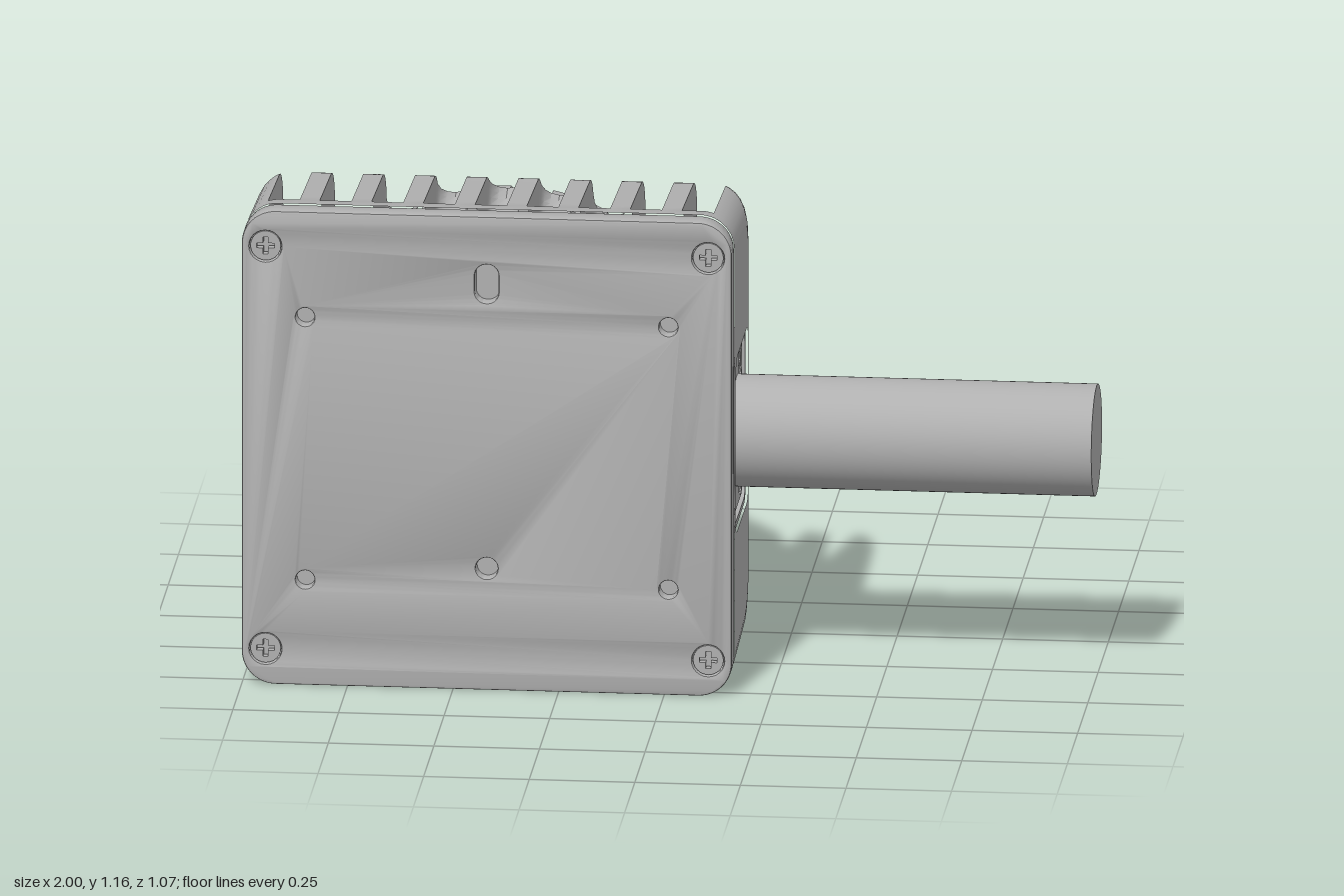
import * as THREE from 'three';
import { toCreasedNormals } from 'three/addons/utils/BufferGeometryUtils.js';

const HALF = 0.58, FRONT = 0.47, PITCH = 0.1225, SLOT = 0.0375;

function roundedRect(w, h, r, cx = 0, cy = 0, Type = THREE.Shape) {
  const s = new Type(), x = w / 2, y = h / 2;
  s.absarc(cx + x - r, cy + y - r, r, 0, Math.PI / 2);
  s.absarc(cx - x + r, cy + y - r, r, Math.PI / 2, Math.PI);
  s.absarc(cx - x + r, cy - y + r, r, Math.PI, Math.PI * 1.5);
  s.absarc(cx + x - r, cy - y + r, r, Math.PI * 1.5, Math.PI * 2);
  s.closePath();
  return s;
}

const circle = (r, x = 0, y = 0, Type = THREE.Shape) => new Type().absarc(x, y, r, 0, Math.PI * 2);

function extrude(shape, depth, bevel = 0) {
  const g = new THREE.ExtrudeGeometry(shape, {
    depth: depth - 2 * bevel, curveSegments: 12, bevelEnabled: bevel > 0,
    bevelSize: bevel, bevelOffset: -bevel, bevelThickness: bevel, bevelSegments: 2,
  });
  g.translate(0, 0, bevel);
  return toCreasedNormals(g, 0.6);
}

// Revolve [radius, z] points, listed from back to front, around the z axis
function lathe(points, segments = 72) {
  const g = new THREE.LatheGeometry(points.map(p => new THREE.Vector2(p[0], p[1])), segments);
  return toCreasedNormals(g.rotateX(Math.PI / 2), 0.5);
}

// Height at which the nearest cooling slot ends on the back, with a round end
function slotEnd(dx) {
  const n = THREE.MathUtils.clamp(Math.round(dx / PITCH), -4, 4), c = n * PITCH;
  const base = Math.max(0.245, Math.sqrt(Math.max(0, 0.25 - c * c)));
  const u = Math.min(1, Math.abs(dx - c) / SLOT);
  return base + SLOT * (1 - Math.sqrt(1 - u * u));
}

// Points at equal steps along a polyline
function resample(poly, n) {
  const path = new THREE.CurvePath();
  for (let i = 1; i < poly.length; i++) path.add(new THREE.LineCurve(poly[i - 1], poly[i]));
  return path.getSpacedPoints(n);
}

// Housing cross-section as (z, height) points: over the top, down the back, under the bottom
function section(dx, isSlot) {
  const V = (z, h) => new THREE.Vector2(z, h);
  const s = Math.max(0, HALF - Math.abs(dx));
  const round = r => (s >= r ? 0 : r - Math.sqrt(r * r - (r - s) ** 2));
  const H = 0.5825 - round(0.08), top = H - 0.02, zBack = 0.06 + round(0.06), rad = 0.1;
  const backZ = h => {
    const d = top - h;
    const fillet = d < rad ? rad - Math.sqrt(rad * rad - (rad - d) ** 2) : 0;
    const r = Math.hypot(dx, h);
    return zBack + fillet - 0.08 * THREE.MathUtils.smoothstep(0.56 - r, 0, 0.11);
  };
  const end = Math.min(slotEnd(dx), top - 0.005);
  const half = [V(FRONT, H)];
  const n1 = 8, n2 = 14, n3 = 14;
  for (let i = 0; i <= n1; i++) {
    const t = i / n1;
    half.push(V(THREE.MathUtils.lerp(0.43, zBack + rad, t), THREE.MathUtils.lerp(H - 0.002, top, t)));
  }
  for (let i = 1; i <= n2; i++) {
    const h = top - (top - end) * (1 - Math.cos(i / n2 * Math.PI / 2));
    half.push(V(backZ(h), h));
  }
  if (isSlot) {
    const floor = resample([half[1], V(0.25, H - 0.11), V(0.16, Math.min(0.44, end + 0.05)),
      V(backZ(end), end)], n1 + n2);
    floor.forEach((p, i) => { half[1 + i] = p; });
  }
  for (let i = 1; i <= n3; i++) {
    const h = end * (1 - i / n3);
    half.push(V(backZ(h), h));
  }
  return half.concat(half.slice(0, -1).reverse().map(p => V(p.x, -p.y)));
}

// Finned shell: sections joined along x, doubled at each slot wall
function shellGeometry() {
  const slices = [];
  const add = (x, isSlot) => slices.push({ x, pts: section(x, isSlot) });
  const ends = [0.58, 0.578, 0.572, 0.562, 0.55, 0.535];
  ends.forEach(x => add(-x, false));
  for (let n = -4; n <= 4; n++) {
    const c = n * PITCH;
    add(c - SLOT, false);
    [-1, -0.85, -0.5, 0, 0.5, 0.85, 1].forEach(u => add(c + u * SLOT, true));
    add(c + SLOT, false);
  }
  ends.slice().reverse().forEach(x => add(x, false));
  const pos = [];
  const tri = (a, b, c) => {
    const area = b.clone().sub(a).cross(c.clone().sub(a)).length();
    if (area > 1e-8) [a, b, c].forEach(p => pos.push(p.x, p.y, p.z));
  };
  const at = (s, i) => new THREE.Vector3(slices[s].x, slices[s].pts[i].y, slices[s].pts[i].x);
  for (let s = 0; s + 1 < slices.length; s++) {
    for (let i = 0; i + 1 < slices[s].pts.length; i++) {
      const a = at(s, i), b = at(s, i + 1), c = at(s + 1, i + 1), d = at(s + 1, i);
      tri(a, d, c);
      tri(a, c, b);
    }
  }
  const g = new THREE.BufferGeometry();
  g.setAttribute('position', new THREE.Float32BufferAttribute(pos, 3));
  return toCreasedNormals(g, 0.55);
}

export function createModel() {
  const model = new THREE.Group();
  const grey = new THREE.MeshStandardMaterial({ color: 0xb0b0b0 });
  grey.name = 'grey';
  const greyOpen = grey;
  const add = (name, geometry, x = 0, y = 0, z = 0, parent = model) => {
    const m = new THREE.Mesh(geometry, greyOpen);
    m.name = name;
    m.position.set(x, y, z);
    parent.add(m);
    return m;
  };

  // Cross-head screw facing +z
  const headShape = circle(0.036);
  const cross = new THREE.Path(), a = 0.006, b = 0.021;
  [[a, a], [b, a], [b, -a], [a, -a], [a, -b], [-a, -b], [-a, -a], [-b, -a], [-b, a], [-a, a], [-a, b], [a, b]]
    .forEach(([x, y], i) => (i ? cross.lineTo(x, y) : cross.moveTo(x, y)));
  cross.closePath();
  headShape.holes.push(cross);
  const headGeometry = extrude(headShape, 0.02);

  const body = new THREE.Group();
  body.name = 'body';
  body.position.set(-0.42, 0.5825, 0);
  model.add(body);

  // Finned housing with flat sides; the cable side has a pocket
  add('finnedHousing', shellGeometry(), 0, 0, 0, body);
  for (const side of [1, -1]) {
    const outline = section(HALF, false).map(p => new THREE.Vector2(-side * p.x, p.y));
    const wall = new THREE.Shape(side > 0 ? outline : outline.reverse());
    if (side > 0) wall.holes.push(roundedRect(0.31, 0.43, 0.04, -0.285, 0, THREE.Path));
    add('sideWall', new THREE.ShapeGeometry(wall).rotateY(side * Math.PI / 2), side * HALF, 0, 0, body);
  }

  // Cable entry, built facing +z and turned to +x
  const entry = new THREE.Group();
  entry.name = 'cableEntry';
  entry.position.set(HALF, 0, 0.285);
  entry.rotation.y = Math.PI / 2;
  body.add(entry);
  const frame = roundedRect(0.312, 0.432, 0.04);
  frame.holes.push(roundedRect(0.284, 0.404, 0.03, 0, 0, THREE.Path));
  add('pocketFrame', extrude(frame, 0.04), 0, 0, -0.046, entry);
  add('pocketFloor', extrude(roundedRect(0.31, 0.43, 0.04), 0.01), 0, 0, -0.05, entry);
  const flange = roundedRect(0.262, 0.382, 0.025);
  for (const x of [-0.089, 0.089]) for (const y of [-0.144, 0.144]) {
    flange.holes.push(circle(0.041, x, y, THREE.Path));
    add('entryScrew', headGeometry, x, y, -0.034, entry);
  }
  add('entryFlange', extrude(flange, 0.03), 0, 0, -0.042, entry);
  const cable = new THREE.CylinderGeometry(0.133, 0.133, 0.87, 64).rotateX(Math.PI / 2);
  add('cable', cable, 0, 0, 0.405, entry);

  // Mounting plate with screws, holes and keyhole slot
  const plate = roundedRect(1.16, 1.165, 0.08);
  const bore = (r, x, y) => plate.holes.push(circle(r, x, y, THREE.Path));
  for (const sx of [-1, 1]) for (const sy of [-1, 1]) {
    bore(0.038, sx * 0.524, sy * 0.495);
    add('cornerScrew', headGeometry, sx * 0.524, sy * 0.495, 0.508, body);
    bore(0.022, sx * 0.43, sy * 0.323);
  }
  bore(0.026, 0, -0.283);
  plate.holes.push(roundedRect(0.056, 0.094, 0.027, 0, 0.417, THREE.Path));
  add('mountingPlate', extrude(plate, 0.059, 0.006), 0, 0, 0.476, body);
  add('seal', extrude(roundedRect(1.14, 1.145, 0.075), 0.04), 0, 0, 0.46, body);

  // Neck and ribbed locking ring
  add('neck', lathe([[0.44, -0.06], [0.447, -0.05], [0.447, -0.035], [0.452, 0.0], [0.47, 0.03]]), 0, 0, 0, body);
  add('lockingRing', lathe([[0.38, -0.16], [0.398, -0.167], [0.435, -0.167], [0.447, -0.15],
    [0.447, -0.068], [0.455, -0.066], [0.455, -0.053], [0.45, -0.048], [0.4, -0.048]]), 0, 0, 0, body);
  const ribs = new THREE.Shape(), count = 36, step = Math.PI * 2 / count;
  for (let i = 0; i < count; i++) {
    [[0, 0.446], [0.1, 0.455], [0.35, 0.455], [0.6, 0.455], [0.84, 0.455], [0.86, 0.446]].forEach(([t, r], k) => {
      const ang = (i + t) * step, x = r * Math.cos(ang), y = r * Math.sin(ang);
      if (i + k) ribs.lineTo(x, y); else ribs.moveTo(x, y);
    });
  }
  ribs.closePath();
  add('ringRibs', extrude(ribs, 0.08), 0, 0, -0.15, body);

  // Dome with a flat tip
  const R = 0.393, start = Math.asin(0.135 / R), dome = [[0, -0.535], [0.135, -0.535]];
  for (let i = 1; i <= 24; i++) {
    const t = start + (Math.PI / 2 - start) * i / 24;
    dome.push([R * Math.sin(t), -0.166 - R * Math.cos(t)]);
  }
  dome.push([R, -0.1]);
  add('dome', lathe(dome, 80), 0, 0, 0, body);
  return model;
}
